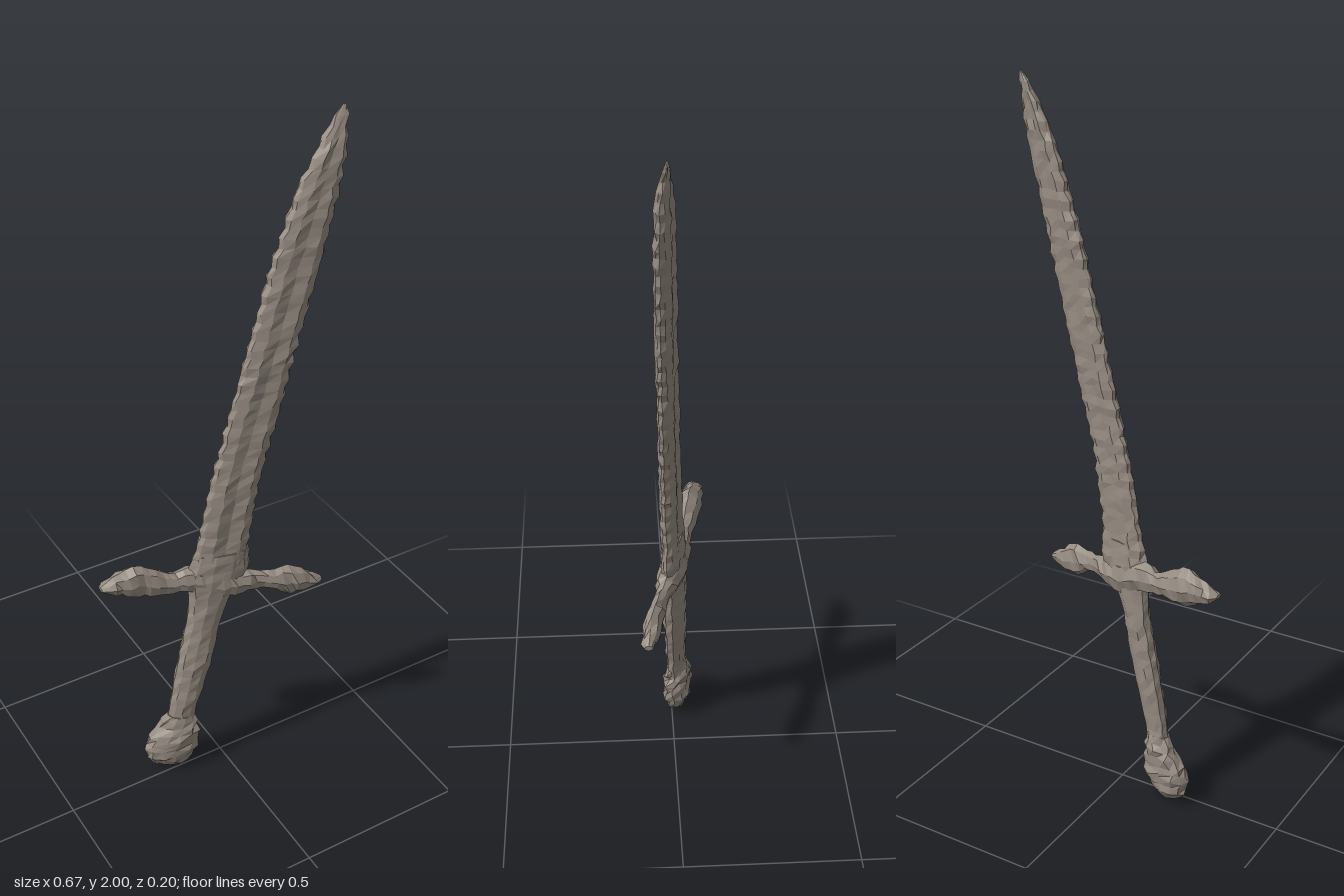
import * as THREE from 'three';

const metal = new THREE.MeshStandardMaterial({ color: 0x958b81, flatShading: true });
metal.name = 'weathered metal';

const YAW = 0.25; // z gained per unit of x across the tilted sword

// Small seeded noise in -1..1 for the worn surface
let seed = 7;
function noise() {
  seed = (seed * 16807) % 2147483647;
  return (seed / 2147483647) * 2 - 1;
}

// Row of numbers interpolated from stations sorted by their first value
function sample(stations, s) {
  let i = 0;
  while (i < stations.length - 2 && s > stations[i + 1][0]) i++;
  const a = stations[i], b = stations[i + 1];
  const t = (s - a[0]) / (b[0] - a[0]);
  return a.map((v, k) => v + (b[k] - v) * t);
}

// Skin rings of points and close both ends with fans
function skin(rings) {
  const n = rings[0].length, pos = [], idx = [];
  rings.forEach((r) => r.forEach((p) => pos.push(...p)));
  for (let i = 0; i < rings.length - 1; i++) {
    for (let j = 0; j < n; j++) {
      const a = i * n + j, b = i * n + ((j + 1) % n);
      idx.push(a, b, b + n, a, b + n, a + n);
    }
  }
  [0, rings.length - 1].forEach((i) => {
    const c = [0, 1, 2].map((k) => rings[i].reduce((s, p) => s + p[k], 0) / n);
    const ci = pos.length / 3;
    pos.push(...c);
    for (let j = 0; j < n; j++) {
      const a = i * n + j, b = i * n + ((j + 1) % n);
      if (i === 0) idx.push(ci, b, a);
      else idx.push(ci, a, b);
    }
  });
  const g = new THREE.BufferGeometry();
  g.setAttribute('position', new THREE.Float32BufferAttribute(pos, 3));
  g.setIndex(idx);
  g.computeVertexNormals();
  return g;
}

function circle(n) {
  return Array.from({ length: n }, (_, i) => {
    const a = (i / n) * Math.PI * 2;
    return [Math.cos(a), Math.sin(a)];
  });
}

// Upright loft; stations are [y, xLeft, xRight, zCentre, halfDepth]
function upright(stations, profile, steps, rough, wave = 0) {
  const y0 = stations[0][0], y1 = stations[stations.length - 1][0];
  const rings = [];
  for (let i = 0; i <= steps; i++) {
    const [y, l, r, z, d] = sample(stations, y0 + ((y1 - y0) * i) / steps);
    const inner = i > 0 && i < steps ? 1 : 0;
    const w = (r - l) / 2 + inner * wave * (i % 2 ? 1 : -1);
    rings.push(profile.map(([u, v]) => {
      const x = u * w + inner * noise() * rough;
      return [(l + r) / 2 + x, y + inner * noise() * rough, z + x * YAW - v * d + inner * noise() * rough];
    }));
  }
  return skin(rings);
}

// Sideways loft; stations are [x, yBottom, yTop, zCentre, halfDepth]
function sideways(stations, profile, steps, rough) {
  const x0 = stations[0][0], x1 = stations[stations.length - 1][0];
  const rings = [];
  for (let i = 0; i <= steps; i++) {
    const [x, b, t, z, d] = sample(stations, x0 + ((x1 - x0) * i) / steps);
    const inner = i > 0 && i < steps ? 1 : 0;
    rings.push(profile.map(([u, v]) => [
      x + inner * noise() * rough,
      (b + t) / 2 + (u * (t - b)) / 2 + inner * noise() * rough,
      z + v * d + inner * noise() * rough,
    ]));
  }
  return skin(rings);
}

export function createModel() {
  seed = 7;
  const sword = new THREE.Group();
  sword.name = 'sword';
  const add = (name, geometry) => {
    const mesh = new THREE.Mesh(geometry, metal);
    mesh.name = name;
    sword.add(mesh);
  };

  // Blade section: blunt edges, thick shoulders and a shallow central groove
  const bladeProfile = [
    [1, 0], [0.9, 0.5], [0.5, 1], [0, 0.8], [-0.5, 1], [-0.9, 0.5],
    [-1, 0], [-0.9, -0.5], [-0.5, -1], [0, -0.8], [0.5, -1], [0.9, -0.5],
  ];
  add('blade', upright([
    [0.64, -0.09, 0.07, 0.0, 0.026],
    [0.71, -0.088, 0.08, 0.002, 0.026],
    [0.8, -0.067, 0.077, 0.006, 0.024],
    [1.0, -0.028, 0.107, 0.013, 0.023],
    [1.2, 0.024, 0.16, 0.019, 0.022],
    [1.4, 0.078, 0.209, 0.025, 0.022],
    [1.6, 0.133, 0.26, 0.03, 0.022],
    [1.8, 0.2, 0.308, 0.034, 0.021],
    [1.9, 0.252, 0.325, 0.038, 0.019],
    [1.96, 0.288, 0.328, 0.035, 0.012],
    [2.0, 0.32, 0.326, 0.032, 0.002],
  ], bladeProfile, 56, 0.0025, 0.003));

  // Grip, flaring up into the guard
  add('grip', upright([
    [0.16, -0.165, -0.085, -0.016, 0.028],
    [0.22, -0.162, -0.083, -0.012, 0.028],
    [0.4, -0.13, -0.032, -0.008, 0.033],
    [0.55, -0.098, -0.002, -0.005, 0.032],
    [0.62, -0.093, 0.025, -0.002, 0.032],
    [0.7, -0.1, 0.075, 0.002, 0.034],
    [0.77, -0.075, 0.075, 0.005, 0.026],
  ], circle(10), 22, 0.0025));

  // Knobbly pommel
  add('pommel', upright([
    [0.0, -0.175, -0.145, -0.022, 0.01],
    [0.02, -0.21, -0.11, -0.022, 0.026],
    [0.05, -0.232, -0.09, -0.021, 0.038],
    [0.08, -0.238, -0.076, -0.02, 0.042],
    [0.11, -0.234, -0.074, -0.018, 0.042],
    [0.16, -0.19, -0.08, -0.017, 0.038],
    [0.2, -0.165, -0.088, -0.014, 0.028],
  ], circle(12), 10, 0.006));

  // Crossguard: two slim arms swelling into pointed leaf ends
  add('crossguard', sideways([
    [-0.337, 0.714, 0.726, -0.072, 0.014],
    [-0.32, 0.7, 0.737, -0.073, 0.024],
    [-0.28, 0.682, 0.755, -0.07, 0.029],
    [-0.23, 0.657, 0.77, -0.06, 0.032],
    [-0.18, 0.655, 0.742, -0.046, 0.03],
    [-0.135, 0.658, 0.715, -0.034, 0.024],
    [-0.08, 0.642, 0.735, -0.02, 0.032],
    [-0.01, 0.605, 0.72, 0.0, 0.042],
    [0.05, 0.612, 0.7, 0.017, 0.034],
    [0.1, 0.63, 0.68, 0.034, 0.022],
    [0.15, 0.612, 0.677, 0.052, 0.022],
    [0.19, 0.582, 0.684, 0.063, 0.025],
    [0.23, 0.588, 0.665, 0.073, 0.024],
    [0.265, 0.598, 0.64, 0.08, 0.02],
    [0.285, 0.608, 0.625, 0.082, 0.012],
  ], circle(8), 32, 0.004));

  return sword;
}
